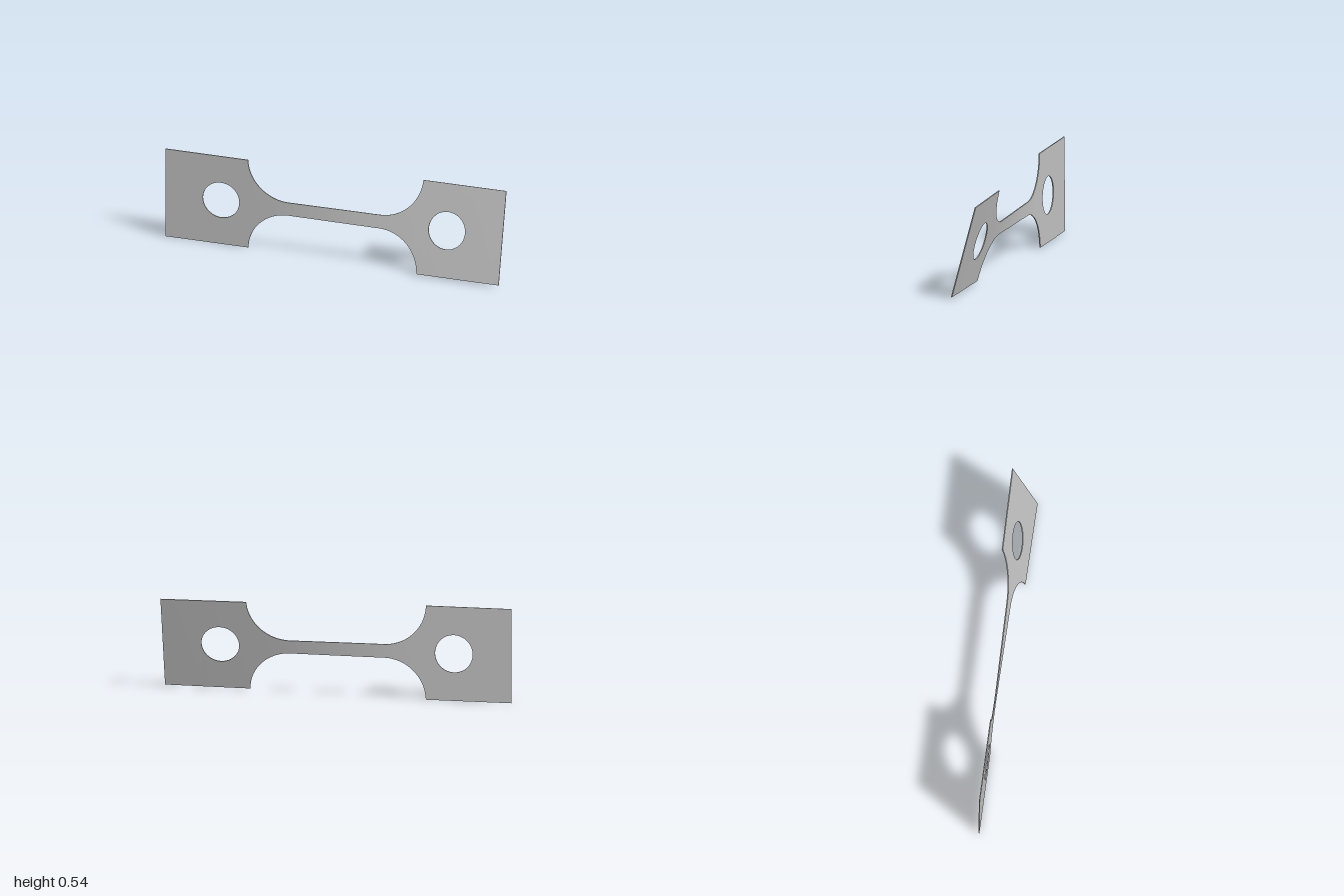
import * as THREE from 'three';
import { toCreasedNormals } from 'three/addons/utils/BufferGeometryUtils.js';

const HALF_H = 0.271;                       // half height of the grip plates
const HALF_T = 0.003;                       // half thickness of the sheet
const GAUGE = 0.27, FILLET = 0.24;          // straight neck end, shoulder radius
const HOLE_X = 0.67, HOLE_R = 0.108;
const rad = THREE.MathUtils.degToRad;

// Half height of the outline, and of the hole, at a given x
function outline(x) {
  const d = Math.max(0, Math.abs(x) - GAUGE);
  if (d >= FILLET * 0.9992) return HALF_H;
  return Math.min(HALF_H, 0.279 - Math.sqrt(FILLET ** 2 - d * d));
}
function hole(x) {
  const d = Math.abs(x) - HOLE_X;
  return Math.sqrt(Math.max(0, HOLE_R ** 2 - d * d));
}

// Twist about the long axis: left grip almost upright, right grip leaning back
function twist(x) {
  return rad(-0.4 + 14.2 * THREE.MathUtils.smoothstep(x, -0.5, 0.5) + 1.2 * Math.max(0, x - 0.5) * 2);
}
function place(x, v, w) {
  const a = twist(x), c = Math.cos(a), s = Math.sin(a);
  return [x, HALF_H + v * c + w * s, -v * s + w * c];
}

// Stations along the sheet, closer together on the curves
function stations() {
  const half = [];
  for (let i = 1; i <= 16; i++) half.push(GAUGE * i / 16);
  for (let i = 1; i <= 24; i++) half.push(GAUGE + FILLET * Math.sin(Math.PI / 2 * i / 24));
  half.push(0.536);
  for (let i = 0; i <= 32; i++) half.push(HOLE_X - HOLE_R * Math.cos(Math.PI * i / 32));
  for (let i = 1; i <= 4; i++) half.push(HOLE_X + HOLE_R + (1 - HOLE_X - HOLE_R) * i / 4);
  return [...half.map(x => -x).reverse(), 0, ...half];
}

function sheetGeometry() {
  const xs = stations(), pos = [];
  const quad = (a, b, c, d) => pos.push(...a, ...b, ...c, ...a, ...c, ...d);
  // Upper band, then the lower band as its half-turn copy
  for (const s of [1, -1]) {
    const rings = xs.map(x => {
      const g = hole(x), h = outline(x);
      return [[g, 1], [h, 1], [h, -1], [g, -1]].map(([v, w]) => place(x, s * v, s * w * HALF_T));
    });
    for (let i = 0; i < xs.length - 1; i++) {
      const bored = hole(xs[i]) + hole(xs[i + 1]) > 1e-4;
      for (let k = 0; k < (bored ? 4 : 3); k++) {
        const n = (k + 1) % 4, p = rings[i], q = rings[i + 1];
        quad(p[k], q[k], q[n], p[n]);
      }
    }
    // End edges
    const first = rings[0], last = rings[rings.length - 1];
    quad(...first);
    quad(...[...last].reverse());
  }
  const geo = new THREE.BufferGeometry();
  geo.setAttribute('position', new THREE.Float32BufferAttribute(pos, 3));
  geo.computeVertexNormals();
  return toCreasedNormals(geo, rad(35));
}

export function createModel() {
  const steel = new THREE.MeshStandardMaterial({ color: 0xc0c0c0 });
  steel.name = 'light grey steel';
  const sheet = new THREE.Mesh(sheetGeometry(), steel);
  sheet.name = 'twistedTestStrip';
  const group = new THREE.Group();
  group.name = 'tensileSpecimen';
  group.add(sheet);
  return group;
}
